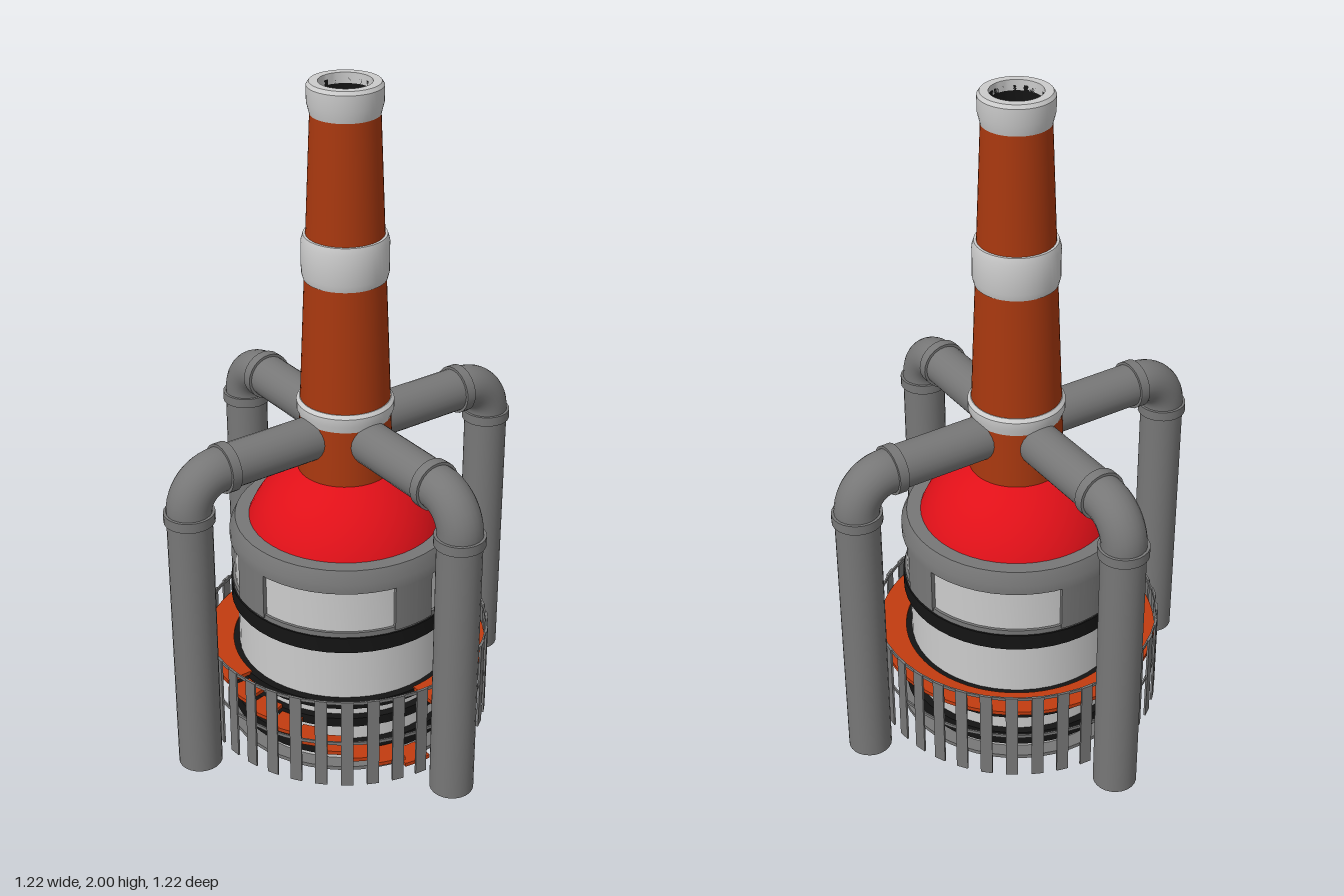
import * as THREE from 'three';
import { toCreasedNormals } from 'three/addons/utils/BufferGeometryUtils.js';

const mat = (color) => new THREE.MeshStandardMaterial({ color });
const light = mat(0xcccccc), grey = mat(0x777777), black = mat(0x141414);
const rust = mat(0xc23c10), brick = mat(0xa8380f), red = mat(0xe01018);

export function createModel() {
  const model = new THREE.Group();

  const add = (name, geo, material, parent = model) => {
    const mesh = new THREE.Mesh(geo, material);
    mesh.name = name;
    parent.add(mesh);
    return mesh;
  };
  // Turned part from [radius, height] pairs, outside running upward
  const turn = (name, points, material) => add(name, toCreasedNormals(
    new THREE.LatheGeometry(points.map(([r, y]) => new THREE.Vector2(r, y)), 48), 0.5), material);
  // Closed ring with a rectangular section
  const ring = (name, r0, r1, y0, y1, material) =>
    turn(name, [[r0, y1], [r0, y0], [r1, y0], [r1, y1], [r0, y1]], material);
  // Slab shaped as part of a ring, angles counted from +x towards -z
  const sector = (name, r0, r1, y, h, a0, a1, material) => {
    const s = new THREE.Shape();
    s.absarc(0, 0, r1, a0, a1, false);
    s.absarc(0, 0, r0, a1, a0, true);
    const geo = new THREE.ExtrudeGeometry(s, { depth: h, bevelEnabled: false, curveSegments: 32 });
    geo.rotateX(-Math.PI / 2).translate(0, y, 0);
    return add(name, toCreasedNormals(geo, 0.5), material);
  };

  // Hollow furnace body
  turn('bodyWall', [[0.31, 0.62], [0.31, 0], [0.327, 0], [0.327, 0.47], [0.334, 0.47], [0.334, 0.62]], light);
  ring('baseRim', 0.325, 0.37, 0, 0.012, grey);
  ring('upperBand', 0.32, 0.347, 0.408, 0.458, black);
  for (const [y0, y1] of [[0.04, 0.085], [0.145, 0.175], [0.21, 0.235]])
    ring('lowerBand', 0.32, 0.35, y0, y1, black);
  turn('shoulder', [[0.28, 0.61], [0.347, 0.61], [0.347, 0.64], [0.33, 0.678], [0.28, 0.678]], grey);
  ring('panelSill', 0.32, 0.342, 0.458, 0.474, grey);

  // Dark posts framing the four light panels
  for (let i = 0; i < 4; i++) {
    const a = i * Math.PI / 2;
    sector('panelPost', 0.325, 0.346, 0.465, 0.15, a - 0.19, a + 0.19, grey);
  }

  // Dome
  const dome = add('dome', new THREE.SphereGeometry(0.31, 48, 16, 0, Math.PI * 2, 0, Math.PI / 2), red);
  dome.position.y = 0.565;
  const ceiling = add('ceiling', new THREE.CylinderGeometry(0.315, 0.315, 0.01, 48), grey);
  ceiling.position.y = 0.57;

  // Tapered chimney running down through the body
  turn('chimney', [[0, 0.03], [0.16, 0.03], [0.142, 0.8], [0.096, 1.93]], brick);
  const burner = add('burner', new THREE.CylinderGeometry(0.012, 0.012, 0.04, 12), light);
  burner.position.y = 0.02;

  // Chimney collars
  turn('lowerCollar', [[0.12, 0.94], [0.127, 0.94], [0.132, 1.01], [0.142, 1.035], [0.142, 1.06],
    [0.133, 1.07], [0.11, 1.07]], light);
  turn('middleCollar', [[0.1, 1.44], [0.119, 1.44], [0.124, 1.46], [0.124, 1.55], [0.118, 1.57],
    [0.1, 1.57]], light);
  turn('chimneyCap', [[0.08, 1.905], [0.095, 1.905], [0.105, 1.945], [0.105, 1.99], [0.098, 2],
    [0.074, 2], [0.074, 1.97]], light);
  turn('flue', [[0.074, 1.985], [0.074, 1.9], [0, 1.9]], black);

  // Four exhaust pipes, each with an elbow and two joint rings
  for (let i = 0; i < 4; i++) {
    const pipe = new THREE.Group();
    pipe.name = 'exhaustPipe';
    pipe.rotation.y = i * Math.PI / 2;
    model.add(pipe);
    const tube = (name, r, length, x, y, lying) => {
      const m = add(name, new THREE.CylinderGeometry(r, r, length, 24), grey, pipe);
      m.position.set(x, y, 0);
      if (lying) m.rotation.z = Math.PI / 2;
    };
    tube('downPipe', 0.065, 0.865, 0.535, 0.4325, false);
    tube('crossPipe', 0.065, 0.335, 0.2675, 0.965, true);
    tube('lowerJoint', 0.073, 0.03, 0.535, 0.85, false);
    tube('upperJoint', 0.073, 0.03, 0.416, 0.965, true);
    const elbow = add('elbow', new THREE.TorusGeometry(0.1, 0.065, 24, 12, Math.PI / 2), grey, pipe);
    elbow.position.set(0.435, 0.865, 0);
  }

  // Walkway around the body, with steps descending in one quadrant
  sector('walkway', 0.345, 0.43, 0.228, 0.012, 0, Math.PI * 1.5, rust);
  const steps = 8, stepAngle = Math.PI / 2 / steps;
  for (let i = 0; i < steps; i++) {
    const a = Math.PI * 1.5 + i * stepAngle;
    sector('step', 0.355, 0.43, 0.205 - i * 0.025, 0.012, a, a + stepAngle, rust);
  }

  // Fence of flat slats with thin rails
  const slats = 36;
  for (let i = 0; i < slats; i++) {
    const a = (i + 0.5) / slats * Math.PI * 2;
    const slat = add('fenceSlat', new THREE.BoxGeometry(0.036, 0.3, 0.006), grey);
    slat.position.set(Math.sin(a) * 0.437, 0.15, Math.cos(a) * 0.437);
    slat.rotation.y = a;
  }
  for (const y of [0.15, 0.294]) ring('fenceRail', 0.432, 0.437, y - 0.005, y + 0.005, grey);

  return model;
}
